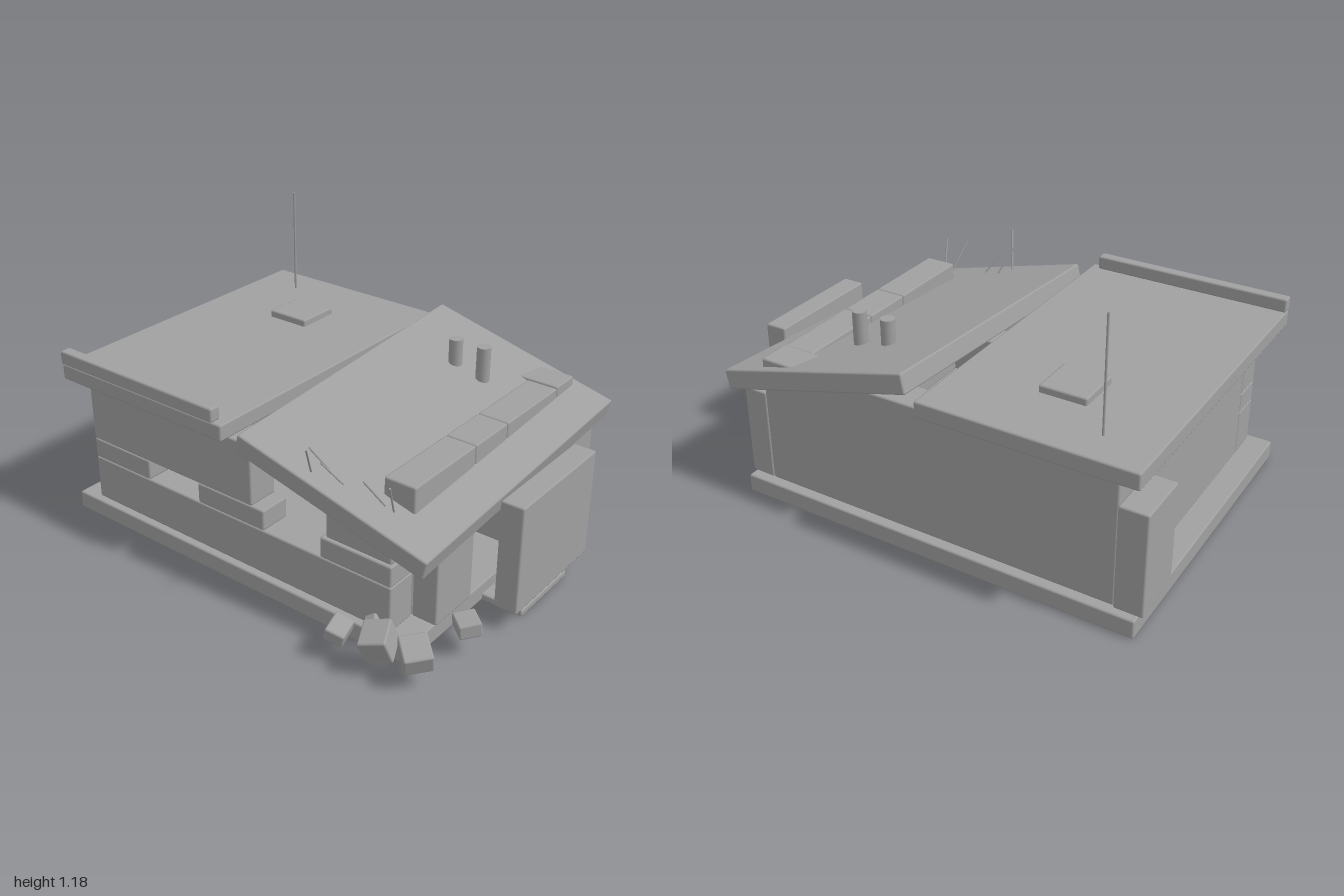
import * as THREE from 'three';
import { RoundedBoxGeometry } from 'three/addons/geometries/RoundedBoxGeometry.js';

export function createModel() {
  const model = new THREE.Group();
  model.name = 'ruinedBunker';
  const concrete = new THREE.MeshStandardMaterial({ color: 0xa0a0a0 });
  concrete.name = 'concreteGrey';

  const add = (name, geometry) => {
    const mesh = new THREE.Mesh(geometry, concrete);
    mesh.name = name;
    model.add(mesh);
    return mesh;
  };
  // Slightly bevelled block centred on a point
  const block = (name, size, pos, rot = [0, 0, 0]) => {
    const mesh = add(name, new RoundedBoxGeometry(...size, 1, Math.min(0.008, Math.min(...size) / 4)));
    mesh.position.set(...pos);
    mesh.rotation.set(...rot);
    return mesh;
  };
  // Block given by its limits on each axis
  const span = (name, x0, x1, y0, y1, z0, z1) =>
    block(name, [x1 - x0, y1 - y0, z1 - z0], [(x0 + x1) / 2, (y0 + y1) / 2, (z0 + z1) / 2]);
  // Thin round bar between two points
  const rod = (name, a, b, radius, sides) => {
    const from = new THREE.Vector3(...a), to = new THREE.Vector3(...b);
    const dir = to.clone().sub(from);
    const mesh = add(name, new THREE.CylinderGeometry(radius, radius, dir.length(), sides));
    mesh.position.copy(from).add(to).multiplyScalar(0.5);
    mesh.quaternion.setFromUnitVectors(new THREE.Vector3(0, 1, 0), dir.normalize());
  };

  // Foundation and doorstep
  span('foundation', -0.98, 0.79, 0, 0.08, -0.76, 0.61);
  span('doorstep', 0.77, 0.97, 0, 0.03, -0.25, 0.10);

  // Front wall: sill, embrasure piers and the broken upper wall
  span('frontSill', -0.88, 0.69, 0.08, 0.28, 0.44, 0.58);
  for (const [x0, x1] of [[-0.88, -0.55], [-0.27, 0.08], [0.36, 0.69]]) {
    span('embrasurePier', x0, x1, 0.28, 0.37, 0.44, 0.58);
  }
  span('frontUpperWall', -0.88, 0.02, 0.37, 0.64, 0.44, 0.58);
  span('frontWallFragment', 0.39, 0.69, 0.38, 0.49, 0.44, 0.58);

  // Back and side walls, with a doorway on the left side
  span('backWall', -0.88, 0.69, 0.08, 0.64, -0.72, -0.58);
  span('rightWall', -0.88, -0.74, 0.08, 0.64, -0.58, 0.44);
  span('leftWallFront', 0.55, 0.69, 0.08, 0.635, 0.04, 0.44);
  span('leftWallBack', 0.55, 0.69, 0.08, 0.635, -0.58, -0.19);
  span('doorLintel', 0.55, 0.69, 0.46, 0.635, -0.19, 0.04);

  // Buttresses and the free-standing blast wall before the door
  span('leftButtressFront', 0.69, 0.80, 0.08, 0.44, 0.20, 0.44);
  span('leftButtressBack', 0.69, 0.80, 0.08, 0.48, -0.72, -0.49);
  span('rightButtress', -1, -0.88, 0.08, 0.52, -0.73, -0.49);
  span('blastWall', 0.90, 1, 0.08, 0.55, -0.35, 0.20);

  // Intact roof half with parapet, hatch and aerial
  span('intactRoof', -0.98, -0.08, 0.64, 0.71, -0.78, 0.63);
  span('parapet', -0.98, -0.12, 0.71, 0.77, 0.585, 0.635);
  span('roofHatch', -0.63, -0.43, 0.70, 0.74, -0.49, -0.29);
  rod('aerial', [-0.767, 0.70, -0.63], [-0.767, 1.18, -0.63], 0.005, 8);

  // Collapsed roof half with vent pipes
  block('collapsedRoof', [0.89, 0.085, 1.37], [0.415, 0.587, -0.075], [0.065, 0, -0.255]);
  for (const x of [0.278, 0.415]) {
    rod('ventPipe', [x, 0.63, -0.435], [x, 0.80, -0.435], 0.03, 16);
  }

  // Bent reinforcing bars at the broken edge
  const bars = [
    [[0.30, 0.61, 0.55], [0.36, 0.77, 0.65]],
    [[0.35, 0.60, 0.49], [0.30, 0.72, 0.56]],
    [[0.43, 0.58, 0.51], [0.37, 0.69, 0.58]],
    [[0.60, 0.56, 0.50], [0.57, 0.69, 0.59]],
    [[0.64, 0.55, 0.50], [0.67, 0.69, 0.57]],
  ];
  for (const [a, b] of bars) rod('reinforcingBar', a, b, 0.004, 6);

  // Rubble by the front left corner
  const rubble = [
    [[0.08, 0.06, 0.10], [0.555, 0.115, 0.71], [0.2, 0.2, -0.3]],
    [[0.05, 0.05, 0.06], [0.63, 0.11, 0.60], [0.5, 0.6, 0.3]],
    [[0.11, 0.11, 0.12], [0.72, 0.13, 0.69], [0.3, 0.4, 0.15]],
    [[0.11, 0.08, 0.12], [0.865, 0.13, 0.665], [0.4, 0.8, -0.2]],
    [[0.10, 0.06, 0.09], [0.91, 0.12, 0.40], [0.12, -0.7, 0.1]],
  ];
  for (const [size, pos, rot] of rubble) block('rubble', size, pos, rot);

  return model;
}
